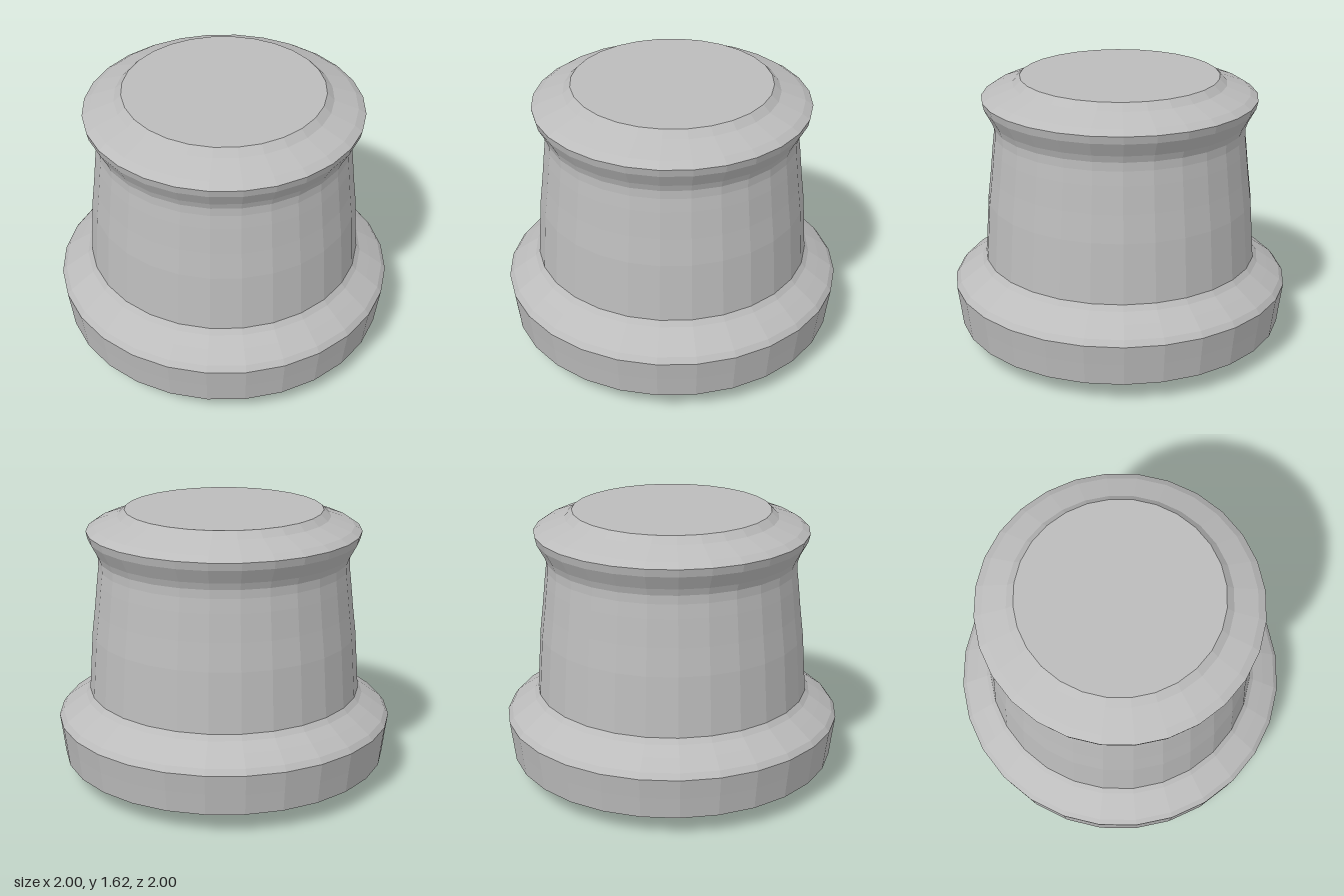
import * as THREE from 'three';

const SIDES = 28;

export function createModel() {
  const model = new THREE.Group();
  model.name = 'knob';
  const grey = new THREE.MeshStandardMaterial({ color: 0xbcbcbc, flatShading: true });
  grey.name = 'plain grey';

  // Turns a profile of [radius, height] points, listed bottom to top
  const turn = (name, profile) => {
    const points = profile.map(([r, y]) => new THREE.Vector2(r, y));
    const mesh = new THREE.Mesh(new THREE.LatheGeometry(points, SIDES), grey);
    mesh.name = name;
    model.add(mesh);
  };

  // Flat underside with its stepped chamfer
  turn('underside', [[0, 0], [0.58, 0], [0.68, 0.045], [0.89, 0.083], [0.97, 0.123]]);

  // Wide flared foot and its sloping shoulder
  turn('foot', [
    [0.97, 0.123], [0.985, 0.25], [1, 0.367], [0.975, 0.4], [0.9, 0.455], [0.835, 0.5], [0.81, 0.53],
  ]);

  // Tapering waist
  turn('waist', [
    [0.81, 0.53], [0.805, 0.6], [0.785, 0.88], [0.765, 1.04], [0.748, 1.2], [0.738, 1.28], [0.738, 1.33],
  ]);

  // Flared rim under the cap
  turn('rim', [[0.738, 1.33], [0.752, 1.37], [0.795, 1.45], [0.805, 1.495]]);

  // Stepped cap with a flat top
  turn('cap', [[0.805, 1.495], [0.76, 1.525], [0.622, 1.575], [0.58, 1.615], [0, 1.615]]);

  return model;
}
